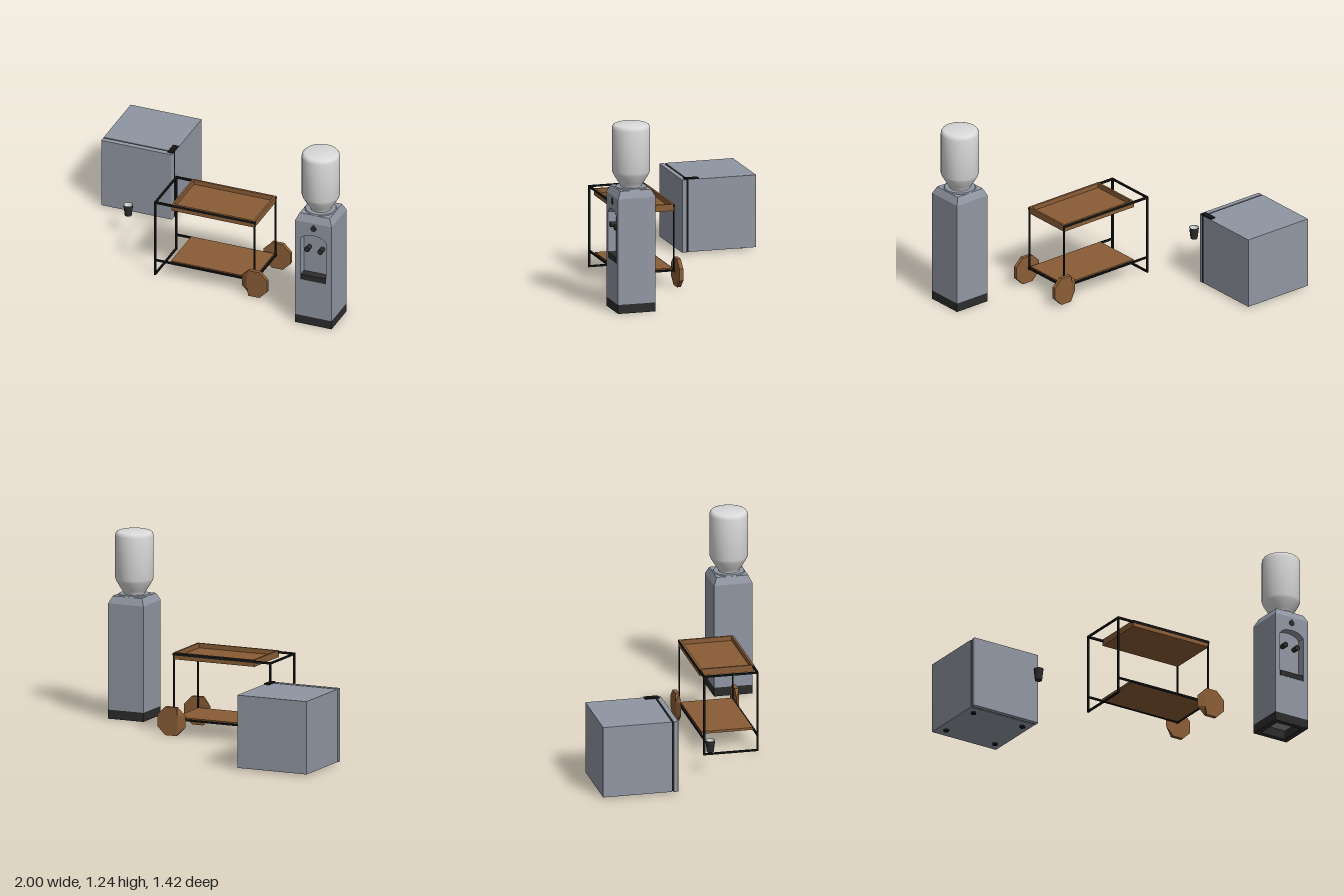
import * as THREE from 'three';
import { toCreasedNormals } from 'three/addons/utils/BufferGeometryUtils.js';

const paint = (name, color, extra = {}) => {
  const m = new THREE.MeshStandardMaterial({ color, ...extra });
  m.name = name;
  return m;
};

export function createModel() {
  const grey = paint('coolGrey', 0x9096a2);
  const white = paint('bottleWhite', 0xdadada, { side: THREE.DoubleSide });
  const wood = paint('brownWood', 0x8a5d36);
  const dark = paint('darkPlastic', 0x2c2c2c);
  const black = paint('blackMetal', 0x141414);

  const root = new THREE.Group();
  const group = (name) => {
    const g = new THREE.Group();
    g.name = name;
    root.add(g);
    return g;
  };
  const add = (parent, name, geo, mat, x = 0, y = 0, z = 0) => {
    const m = new THREE.Mesh(geo, mat);
    m.name = name;
    m.position.set(x, y, z);
    parent.add(m);
    return m;
  };
  // Box given by its lower and upper corners
  const box = (parent, name, mat, [x0, y0, z0], [x1, y1, z1]) =>
    add(parent, name, new THREE.BoxGeometry(x1 - x0, y1 - y0, z1 - z0), mat,
      (x0 + x1) / 2, (y0 + y1) / 2, (z0 + z1) / 2);
  const lathe = (pts, n = 32) => toCreasedNormals(
    new THREE.LatheGeometry(pts.map((p) => new THREE.Vector2(...p)), n), 0.6);

  // ---- Small refrigerator ----
  const fridge = group('fridge');
  box(fridge, 'cabinet', grey, [-1, 0.012, -0.71], [-0.5, 0.495, -0.25]);
  box(fridge, 'doorSeal', black, [-0.995, 0.016, -0.25], [-0.502, 0.491, -0.238]);
  const doorShape = new THREE.Shape();
  doorShape.moveTo(-1, 0.238);
  doorShape.lineTo(-0.5, 0.238);
  doorShape.lineTo(-0.5, 0.215);
  doorShape.quadraticCurveTo(-0.5, 0.206, -0.51, 0.206);
  doorShape.lineTo(-0.99, 0.206);
  doorShape.quadraticCurveTo(-1, 0.206, -1, 0.215);
  const door = new THREE.ExtrudeGeometry(doorShape, { depth: 0.485, bevelEnabled: false });
  door.rotateX(-Math.PI / 2);
  add(fridge, 'door', door, grey, 0, 0.01, 0);
  box(fridge, 'hingePlate', black, [-0.54, 0.495, -0.32], [-0.502, 0.503, -0.225]);
  box(fridge, 'hingeStrip', black, [-0.504, 0.012, -0.25], [-0.499, 0.497, -0.236]);
  for (const x of [-0.94, -0.56])
    for (const z of [-0.31, -0.63])
      add(fridge, 'foot', new THREE.CylinderGeometry(0.017, 0.017, 0.014, 12), black, x, 0.007, z);

  // ---- Cup ----
  const cup = group('cup');
  cup.position.set(-0.69, 0.155, 0.08);
  add(cup, 'cupOutside', lathe([[0, 0], [0.023, 0], [0.032, 0.078]], 20), dark);
  add(cup, 'cupInside', lathe([[0.032, 0.08], [0.029, 0.078], [0.022, 0.045], [0, 0.045]], 20), white);

  // ---- Water cooler ----
  const cooler = group('waterCooler');
  cooler.position.set(0.872, 0, 0.577);
  const H = 0.128;
  const rect = (Path, h) => new Path([[-h, -h], [h, -h], [h, h], [-h, h]]
    .map((p) => new THREE.Vector2(...p)));
  const plinthShape = rect(THREE.Shape, H);
  plinthShape.holes.push(rect(THREE.Path, H - 0.035));
  const plinth = new THREE.ExtrudeGeometry(plinthShape, { depth: 0.06, bevelEnabled: false });
  plinth.rotateX(-Math.PI / 2);
  add(cooler, 'plinth', plinth, dark);
  box(cooler, 'column', grey, [-H, 0.06, -H], [H, 0.765, H - 0.055]);

  // Front panel with an arched dispensing alcove
  const panel = new THREE.Shape([[-H, 0.06], [H, 0.06], [H, 0.765], [-H, 0.765]]
    .map((p) => new THREE.Vector2(...p)));
  const arch = new THREE.Path();
  arch.moveTo(-0.09, 0.33);
  arch.lineTo(-0.09, 0.635);
  arch.bezierCurveTo(-0.06, 0.685, 0.06, 0.685, 0.09, 0.635);
  arch.lineTo(0.09, 0.33);
  panel.holes.push(arch);
  add(cooler, 'frontPanel', new THREE.ExtrudeGeometry(panel,
    { depth: 0.055, bevelEnabled: false, curveSegments: 16 }), grey, 0, 0, H - 0.055);
  box(cooler, 'dripTray', dark, [-0.088, 0.33, H - 0.055], [0.088, 0.368, H + 0.001]);
  for (const x of [-0.046, 0.046]) {
    const tap = add(cooler, 'tap', new THREE.CylinderGeometry(0.019, 0.015, 0.05, 14), dark, x, 0.56, H - 0.025);
    tap.rotation.x = Math.PI / 2;
  }
  const drop = new THREE.Shape();
  drop.moveTo(0, 0.027);
  drop.quadraticCurveTo(0.022, 0.004, 0.022, -0.006);
  drop.quadraticCurveTo(0.015, -0.024, 0, -0.024);
  drop.quadraticCurveTo(-0.015, -0.024, -0.022, -0.006);
  drop.quadraticCurveTo(-0.022, 0.004, 0, 0.027);
  add(cooler, 'indicatorPlate', new THREE.ExtrudeGeometry(drop,
    { depth: 0.002, bevelEnabled: false }), dark, 0, 0.728, H);

  // Tapered top, collar and bottle
  const top = new THREE.CylinderGeometry(0.105 * Math.SQRT2, H * Math.SQRT2, 0.048, 4).rotateY(Math.PI / 4);
  add(cooler, 'taperedTop', toCreasedNormals(top, 0.3), grey, 0, 0.789, 0);
  add(cooler, 'collar', new THREE.CylinderGeometry(0.1, 0.105, 0.008, 32), grey, 0, 0.816, 0);
  add(cooler, 'bottle', lathe([[0.068, 0.8], [0.068, 0.825], [0.085, 0.85], [0.118, 0.905], [0.125, 0.925],
    [0.125, 1.205], [0.122, 1.22], [0.114, 1.231], [0.1, 1.236], [0, 1.236]], 40), white);

  // ---- Serving cart ----
  const cart = group('servingCart');
  const zBack = 0.125, zFront = 0.482, xEnd = -0.333, xAxle = 0.366, t = 0.006;
  const bar = (name, a, b) => box(cart, name, black, a.map((v) => v - t), b.map((v) => v + t));
  for (const z of [zBack, zFront]) {
    bar('standingLeg', [xEnd, t, z], [xEnd, 0.542, z]);
    bar('topRail', [xEnd, 0.54, z], [xAxle, 0.542, z]);
    bar('lowerRail', [xEnd, 0.11, z], [xAxle, 0.11, z]);
    box(cart, 'wheelLeg', black, [xAxle - 0.005, 0.1, z - 0.004], [xAxle + 0.005, 0.54, z + 0.004]);
  }
  for (const y of [t, 0.541]) bar('endCrossbar', [xEnd, y, zBack], [xEnd, y, zFront]);
  bar('axleCrossbar', [xAxle, 0.11, zBack], [xAxle, 0.11, zFront]);

  // Upper tray with a raised rim
  const [x0, x1, z0, z1] = [-0.218, 0.368, 0.122, 0.486];
  box(cart, 'trayFloor', wood, [x0, 0.508, z0], [x1, 0.522, z1]);
  for (const z of [z0, z1 - 0.014])
    box(cart, 'trayLongRim', wood, [x0, 0.522, z], [x1, 0.553, z + 0.014]);
  for (const x of [x0, x1 - 0.014])
    box(cart, 'trayShortRim', wood, [x, 0.522, z0 + 0.014], [x + 0.014, 0.553, z1 - 0.014]);
  for (const z of [z0 - 0.002, z1])
    box(cart, 'trayTrim', black, [x0, 0.535, z], [x1, 0.551, z + 0.002]);
  // Lower shelf
  box(cart, 'lowerShelf', wood, [-0.225, 0.108, 0.132], [0.36, 0.124, 0.476]);

  // Eight-sided wheels, chamfered on one side of the outer face
  const makeWheel = (side) => {
    const pts = [...Array(8)].map((_, i) => {
      const a = (i + 0.5) * Math.PI / 4;
      return new THREE.Vector2(0.102 * Math.cos(a), 0.102 * Math.sin(a));
    });
    const geo = new THREE.ExtrudeGeometry(new THREE.Shape(pts), { depth: 0.026, bevelEnabled: false });
    geo.translate(0, 0, -0.013);
    const p = geo.attributes.position;
    for (let i = 0; i < p.count; i++)
      if (p.getX(i) < -0.08 && p.getZ(i) * side > 0) p.setX(i, -0.05);
    geo.computeVertexNormals();
    return geo;
  };
  add(cart, 'frontWheel', makeWheel(1), wood, 0.374, 0.1, 0.502);
  add(cart, 'backWheel', makeWheel(-1), wood, 0.374, 0.1, 0.105);

  return root;
}
